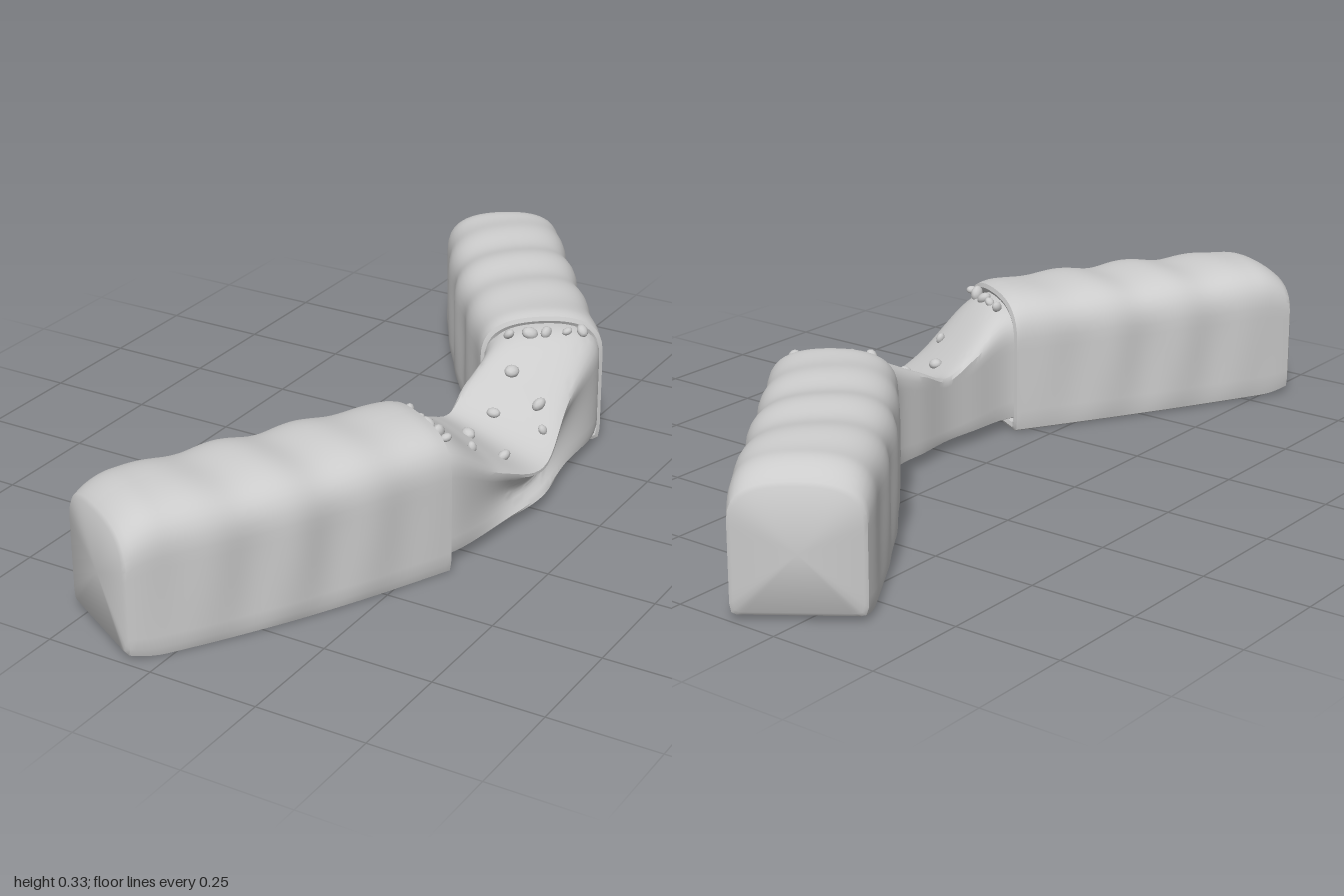
import * as THREE from 'three';
import { toCreasedNormals, mergeGeometries } from 'three/addons/utils/BufferGeometryUtils.js';

const material = new THREE.MeshStandardMaterial({ color: 0xcccccc });
const { lerp, smoothstep } = THREE.MathUtils;

// Arched loaf outline: u from -1 to 1, v from 0 to 1, starting its curve at the shoulder height
function outline(shoulder) {
  const c = 0.3 * shoulder + 0.7;
  const s = new THREE.Shape();
  s.moveTo(-0.9, 0).lineTo(0.9, 0).quadraticCurveTo(1, 0, 1, 0.07).lineTo(1, shoulder);
  s.bezierCurveTo(1, c, 0.7, 1, 0, 1).bezierCurveTo(-0.7, 1, -1, c, -1, shoulder);
  s.lineTo(-1, 0.07).quadraticCurveTo(-1, 0, -0.9, 0);
  return s.getSpacedPoints(72).slice(0, -1);
}

// Skin over a row of equal rings, closed at both ends
function loft(rings) {
  const n = rings[0].length, index = [], last = rings.length - 1;
  const points = rings.flat();
  const centre = (ring) => ring.reduce((a, p) => a.add(p), new THREE.Vector3()).divideScalar(n);
  points.push(centre(rings[0]), centre(rings[last]));
  for (let j = 0; j < n; j++) {
    const k = (j + 1) % n;
    for (let i = 0; i < last; i++) {
      const a = i * n, b = a + n;
      index.push(a + j, a + k, b + j, a + k, b + k, b + j);
    }
    index.push(points.length - 2, k, j, points.length - 1, last * n + j, last * n + k);
  }
  const geometry = new THREE.BufferGeometry().setFromPoints(points);
  geometry.setIndex(index);
  return toCreasedNormals(geometry, 0.65);
}

// Rippled half of the coating, open at z = 0 and closed at the far end
function coatedHalf(length, bulge, bend, phase) {
  const profile = outline(0.7);
  const section = (z, inset) => {
    const t = z / length;
    const far = Math.max(0, 1 - (length - z) / 0.08) ** 2;
    const near = Math.max(0, 1 - z / 0.04) ** 2;
    const swell = Math.sin(Math.PI * t);
    return profile.map(({ x: u, y: v }) => {
      const wave = Math.sin(z * 33 + u * 0.9 + phase) * swell;
      const half = 0.144 + bulge * swell - 0.007 * far + 0.007 * wave * Math.sin(Math.PI * v) - inset;
      const top = 0.331 + 0.006 * wave - 0.036 * far - 0.008 * near - inset;
      const base = 0.003 + 0.012 * far + inset;
      return new THREE.Vector3(u * half + bend * swell, base + v * (top - base), z);
    });
  };
  const rings = [section(0.05, 0.017), section(0.004, 0.017), section(0, 0.008)];
  for (let i = 0; i <= 60; i++) rings.push(section(lerp(0.004, length, i / 60), 0));
  rings.push(section(length, 0.008).map((p) => p.setZ(length + 0.006)));
  return loft(rings);
}

// Top edges of the exposed filling, inner and outer side of the bend
const V = (x, y, z) => new THREE.Vector3(x, y, z);
const innerEdge = new THREE.CatmullRomCurve3([
  V(0.05, 0.3, -0.28), V(0.092, 0.295, -0.2), V(0.1, 0.245, -0.1), V(0.11, 0.195, 0),
  V(0.102, 0.235, 0.09), V(0.09, 0.295, 0.2), V(0.06, 0.3, 0.26)]);
const outerEdge = new THREE.CatmullRomCurve3([
  V(0.27, 0.3, -0.44), V(0.31, 0.295, -0.365), V(0.325, 0.2, -0.19), V(0.355, 0.11, -0.01),
  V(0.335, 0.17, 0.15), V(0.305, 0.295, 0.325), V(0.27, 0.3, 0.39)]);

function fillingGeometry() {
  const rings = [];
  for (let i = 0; i <= 48; i++) {
    const t = i / 48, a = innerEdge.getPoint(t), b = outerEdge.getPoint(t);
    const middle = smoothstep(t, 0.15, 0.5) * (1 - smoothstep(t, 0.5, 0.85));
    rings.push(outline(lerp(0.72, 0.93, middle)).map(({ x: u, y: v }) => {
      const p = a.clone().lerp(b, (u + 1) / 2);
      p.y = 0.03 + v * (p.y - 0.03);
      p.x -= 0.035 * middle * Math.max(0, u) * Math.sin(Math.PI * Math.min(1, v / 0.9));
      return p;
    }));
  }
  return loft(rings);
}

// Crumb resting on the filling: along the bend (t), across it (s)
function crumb([t, s], i) {
  const p = innerEdge.getPoint(t).lerp(outerEdge.getPoint(t), s);
  const r = 0.014 + 0.003 * Math.sin(i * 2.3);
  return new THREE.IcosahedronGeometry(r, 1).scale(1.2, 0.8, 1)
    .rotateY(i * 1.3).rotateZ(i).translate(p.x, p.y + 0.003, p.z);
}

export function createModel() {
  const group = new THREE.Group();
  const add = (name, geometry) => {
    const mesh = new THREE.Mesh(geometry, material);
    mesh.name = name;
    group.add(mesh);
    return mesh;
  };

  // Two coated halves, turned away from each other
  const front = add('frontHalf', coatedHalf(0.746, 0.014, 0.006, 0.5));
  front.position.set(0.195, 0, 0.275);
  front.rotation.y = Math.atan2(-0.37, 0.655);
  const back = add('backHalf', coatedHalf(0.744, 0.006, 0.012, 2));
  back.position.set(0.19, 0, -0.31);
  back.rotation.y = Math.atan2(-0.435, -0.61);

  // Sagging filling stretched between them
  add('filling', fillingGeometry());

  // Loose crumbs, thicker along both openings
  const spots = [[0.43, 0.38], [0.37, 0.75], [0.42, 0.85], [0.6, 0.4], [0.58, 0.75], [0.7, 0.72], [0.3, 0.4]];
  for (const s of [0.22, 0.4, 0.54, 0.72, 0.85]) spots.push([0.165, s], [0.83, s + 0.03]);
  add('crumbs', mergeGeometries(spots.map(crumb)));
  return group;
}
